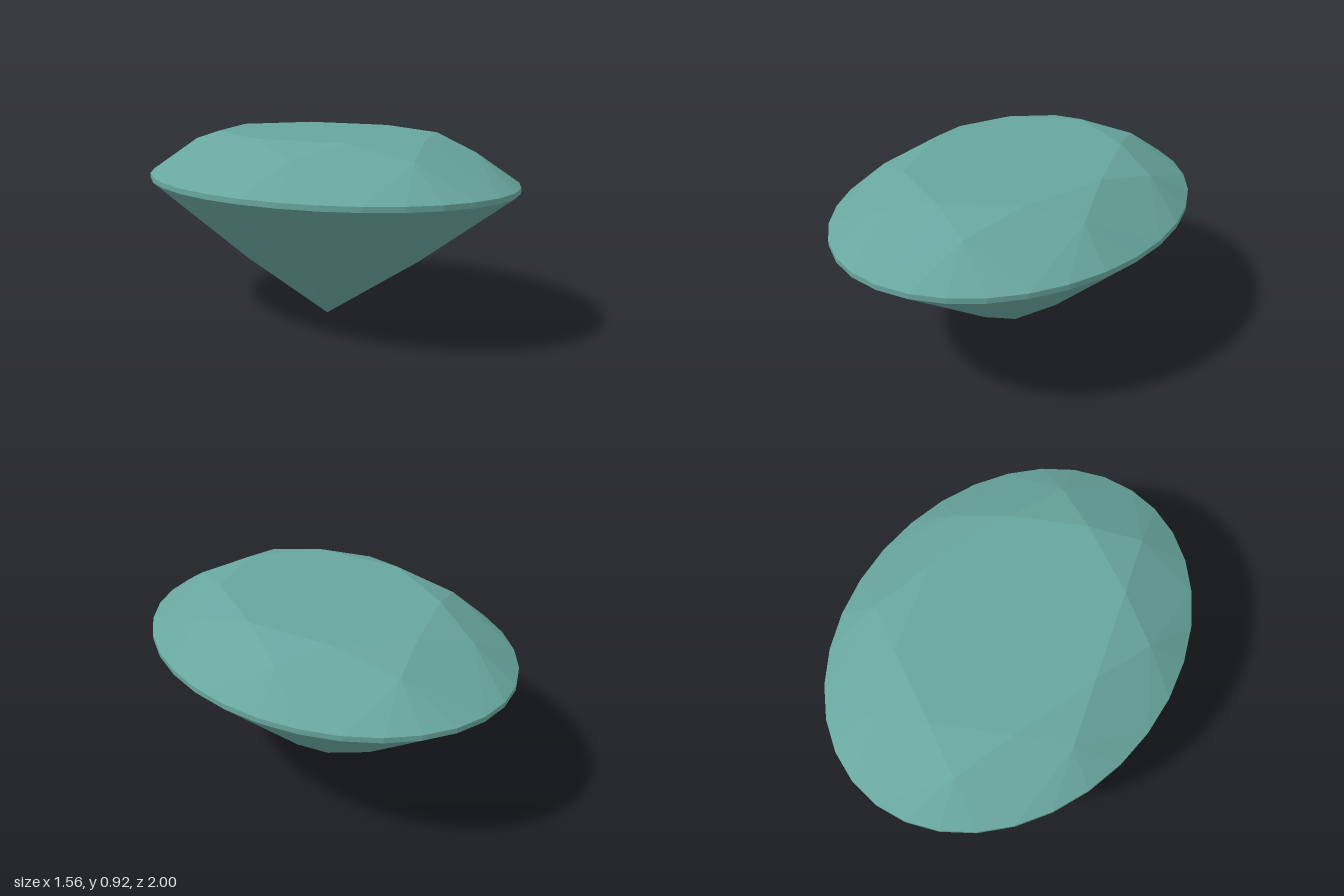
import * as THREE from 'three';

const SIDES = 32;        // girdle corners
const MAINS = 8;         // main facets around the stone
const WIDTH = 0.78;      // half width in x (half length in z is 1)
const TWIST = 0.026;     // slight turn of the cut inside the oval
const GIRDLE_LOW = 0.68, GIRDLE_HIGH = 0.705, TABLE_Y = 0.92;

// Point on a scaled oval ring; step counts girdle corners from the front
function ringPoint(step, radius, y) {
  const a = (step / SIDES) * Math.PI * 2 + TWIST;
  return [WIDTH * radius * Math.sin(a), y, radius * Math.cos(a)];
}

// Flat-faceted mesh from triangles listed counter-clockwise seen from outside
function facetMesh(name, triangles, material) {
  const geometry = new THREE.BufferGeometry();
  geometry.setAttribute('position', new THREE.Float32BufferAttribute(triangles.flat(2), 3));
  geometry.computeVertexNormals();
  const mesh = new THREE.Mesh(geometry, material);
  mesh.name = name;
  return mesh;
}

export function createModel() {
  const gem = new THREE.MeshStandardMaterial({ color: 0x68a69e });
  gem.name = 'teal gem';

  const tablePoint = (s) => ringPoint(s, 0.6, TABLE_Y);
  const starPoint = (s) => ringPoint(s, 0.78, 0.855);
  const lowerPoint = (s) => ringPoint(s, 0.5, 0.314);
  const upperGirdle = (s) => ringPoint(s, 1, GIRDLE_HIGH);
  const lowerGirdle = (s) => ringPoint(s, 1, GIRDLE_LOW);
  const culet = [0, 0, 0];
  const centre = [0, TABLE_Y, 0];

  const table = [], crown = [], girdle = [], pavilion = [];
  const step = SIDES / MAINS, half = step / 2;

  for (let k = 0; k < MAINS; k++) {
    const s = k * step;
    // octagonal table
    table.push([centre, tablePoint(s), tablePoint(s + step)]);

    // crown: star facet, then the kite facet as two triangles
    crown.push([tablePoint(s), starPoint(s + half), tablePoint(s + step)]);
    crown.push([tablePoint(s), upperGirdle(s), starPoint(s + half)]);
    crown.push([tablePoint(s), starPoint(s - half), upperGirdle(s)]);

    // pavilion: kite facet down to the culet
    pavilion.push([culet, lowerPoint(s + half), lowerGirdle(s)]);
    pavilion.push([culet, lowerGirdle(s), lowerPoint(s - half)]);

    // fans of half facets against the girdle, and the girdle band
    for (let i = s; i < s + step; i++) {
      crown.push([starPoint(s + half), upperGirdle(i), upperGirdle(i + 1)]);
      pavilion.push([lowerPoint(s + half), lowerGirdle(i + 1), lowerGirdle(i)]);
      girdle.push([lowerGirdle(i), lowerGirdle(i + 1), upperGirdle(i + 1)]);
      girdle.push([lowerGirdle(i), upperGirdle(i + 1), upperGirdle(i)]);
    }
  }

  const group = new THREE.Group();
  group.name = 'ovalGem';
  group.add(
    facetMesh('table', table, gem),
    facetMesh('crown', crown, gem),
    facetMesh('girdle', girdle, gem),
    facetMesh('pavilion', pavilion, gem),
  );
  return group;
}
